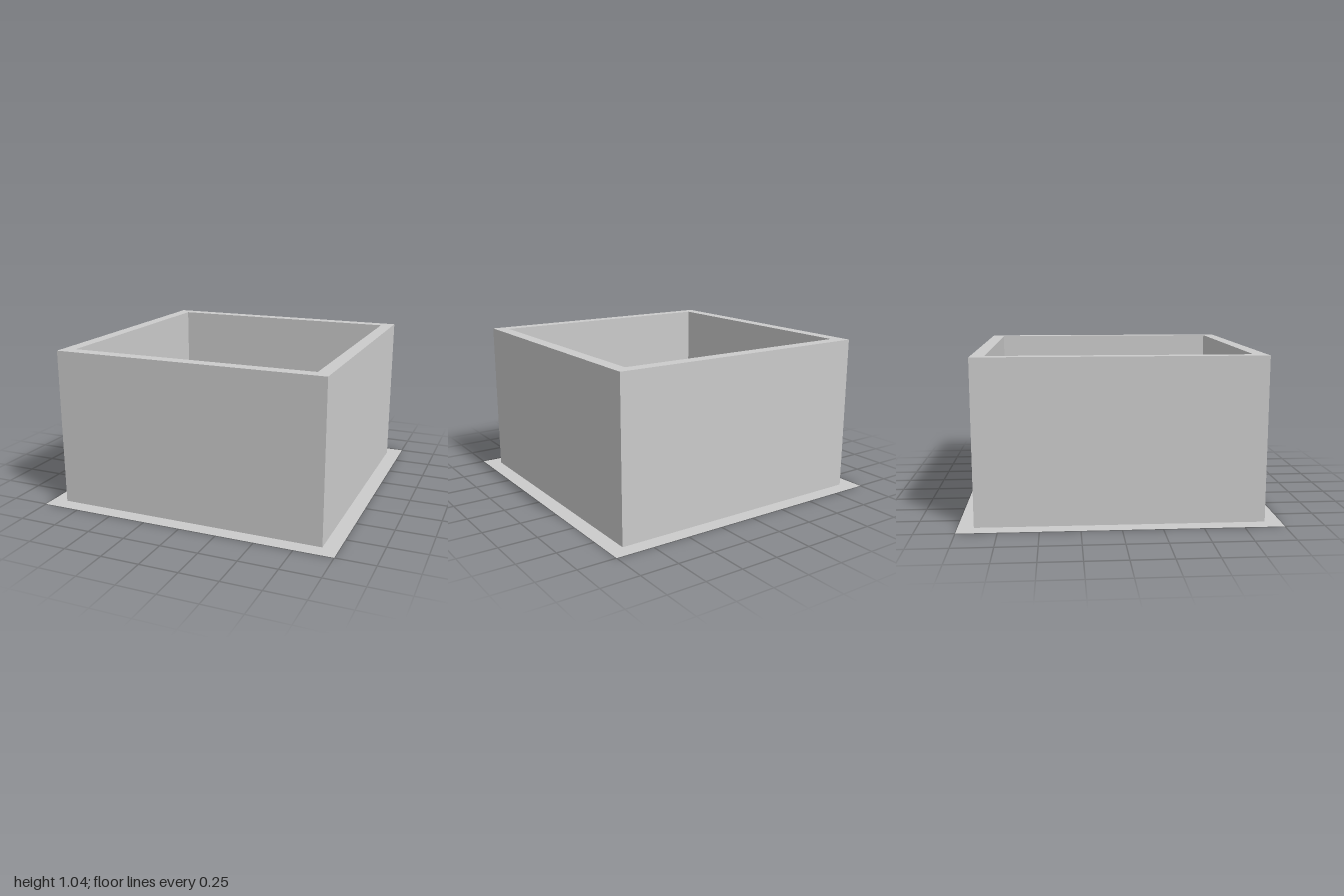
import * as THREE from 'three';

const OUTER = 0.9, INNER = 0.815, HEIGHT = 1.04;

// Corners of a centred square with half-width r
const square = (r) => [[-r, -r], [r, -r], [r, r], [-r, r]].map(([x, y]) => new THREE.Vector2(x, y));

export function createModel() {
  const group = new THREE.Group();
  group.name = 'openBox';
  const material = new THREE.MeshStandardMaterial({ color: 0xcccccc, flatShading: true });

  // Four walls as one square ring, open at the top
  const ring = new THREE.Shape(square(OUTER));
  ring.holes.push(new THREE.Path(square(INNER).reverse()));
  const wallGeometry = new THREE.ExtrudeGeometry(ring, { depth: HEIGHT, bevelEnabled: false });
  wallGeometry.rotateX(-Math.PI / 2);
  const walls = new THREE.Mesh(wallGeometry, material);
  walls.name = 'walls';
  group.add(walls);

  // Thin ground sheet that also closes the box as its floor
  const sheetMaterial = material.clone();
  sheetMaterial.side = THREE.DoubleSide;
  const base = new THREE.Mesh(new THREE.PlaneGeometry(2, 2).rotateX(-Math.PI / 2), sheetMaterial);
  base.name = 'baseSheet';
  group.add(base);

  return group;
}
